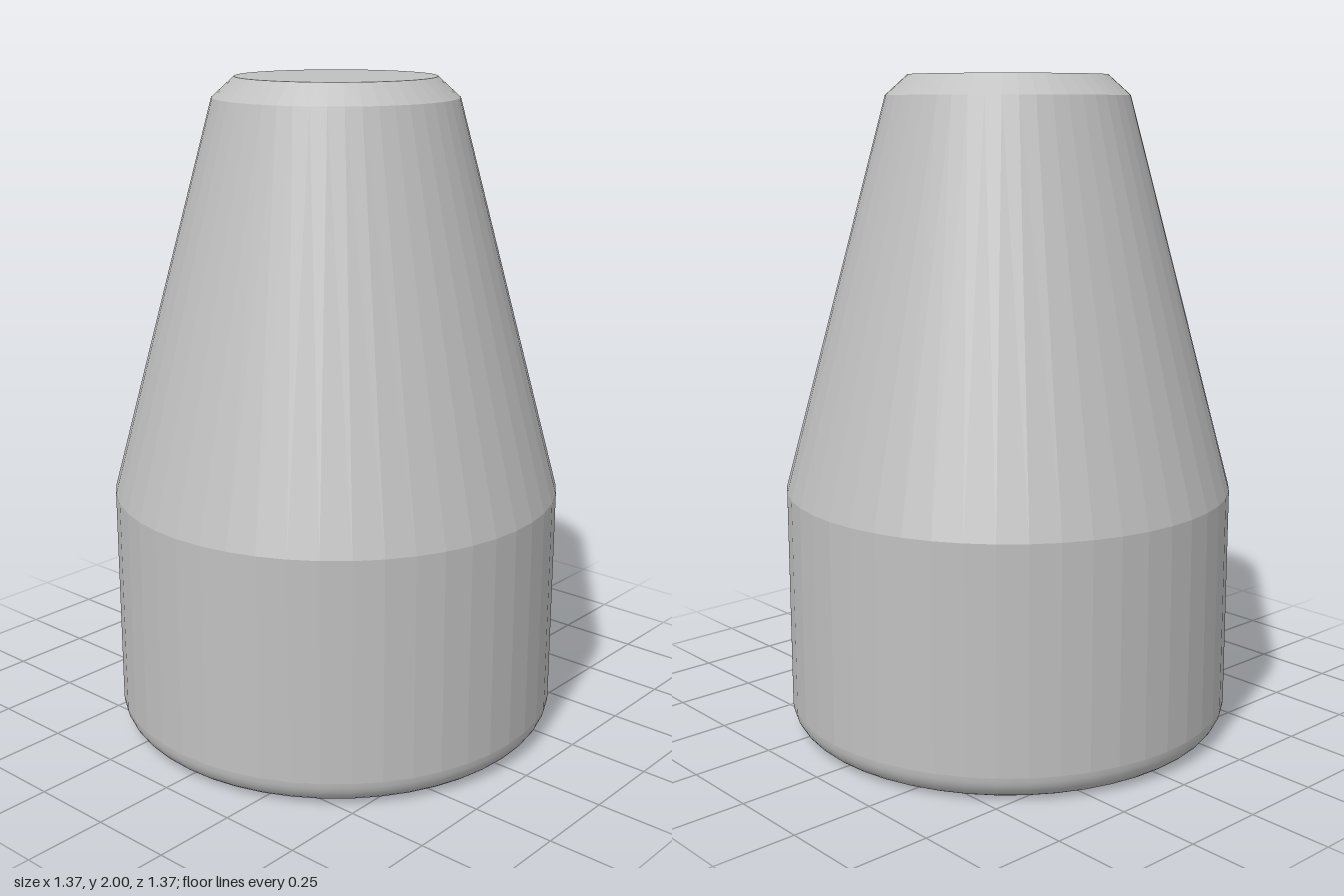
import * as THREE from 'three';
import { mergeVertices, toCreasedNormals } from 'three/addons/utils/BufferGeometryUtils.js';

const SEGMENTS = 48;
const RADIUS = 0.685;
const FILLET = 0.08;

export function createModel() {
  const model = new THREE.Group();
  model.name = 'taperedPlug';
  const grey = new THREE.MeshStandardMaterial({ color: 0xc0c0c0 });
  grey.name = 'plain grey';

  // Revolve [radius, height] points, listed bottom to top, into a faceted part
  const addRevolved = (name, points, crease) => {
    const lathe = new THREE.LatheGeometry(points.map(([r, y]) => new THREE.Vector2(r, y)), SEGMENTS);
    lathe.deleteAttribute('normal');
    lathe.deleteAttribute('uv');
    const mesh = new THREE.Mesh(toCreasedNormals(mergeVertices(lathe), crease), grey);
    mesh.name = name;
    model.add(mesh);
  };

  // Flat underside with a rounded rim
  const rim = [[0, 0]];
  for (let i = 0; i <= 8; i++) {
    const a = (i / 8) * Math.PI / 2;
    rim.push([RADIUS - FILLET + FILLET * Math.sin(a), FILLET - FILLET * Math.cos(a)]);
  }
  addRevolved('roundedBase', rim, 0.3);

  // Straight body, tapered shoulder, chamfer and flat top
  addRevolved('cylindricalBody', [[RADIUS, FILLET], [RADIUS, 0.755]], 0.05);
  addRevolved('taperedNeck', [[RADIUS, 0.755], [0.365, 1.94]], 0.05);
  addRevolved('topChamfer', [[0.365, 1.94], [0.298, 2]], 0.05);
  addRevolved('flatTop', [[0.298, 2], [0, 2]], 0.05);

  return model;
}
